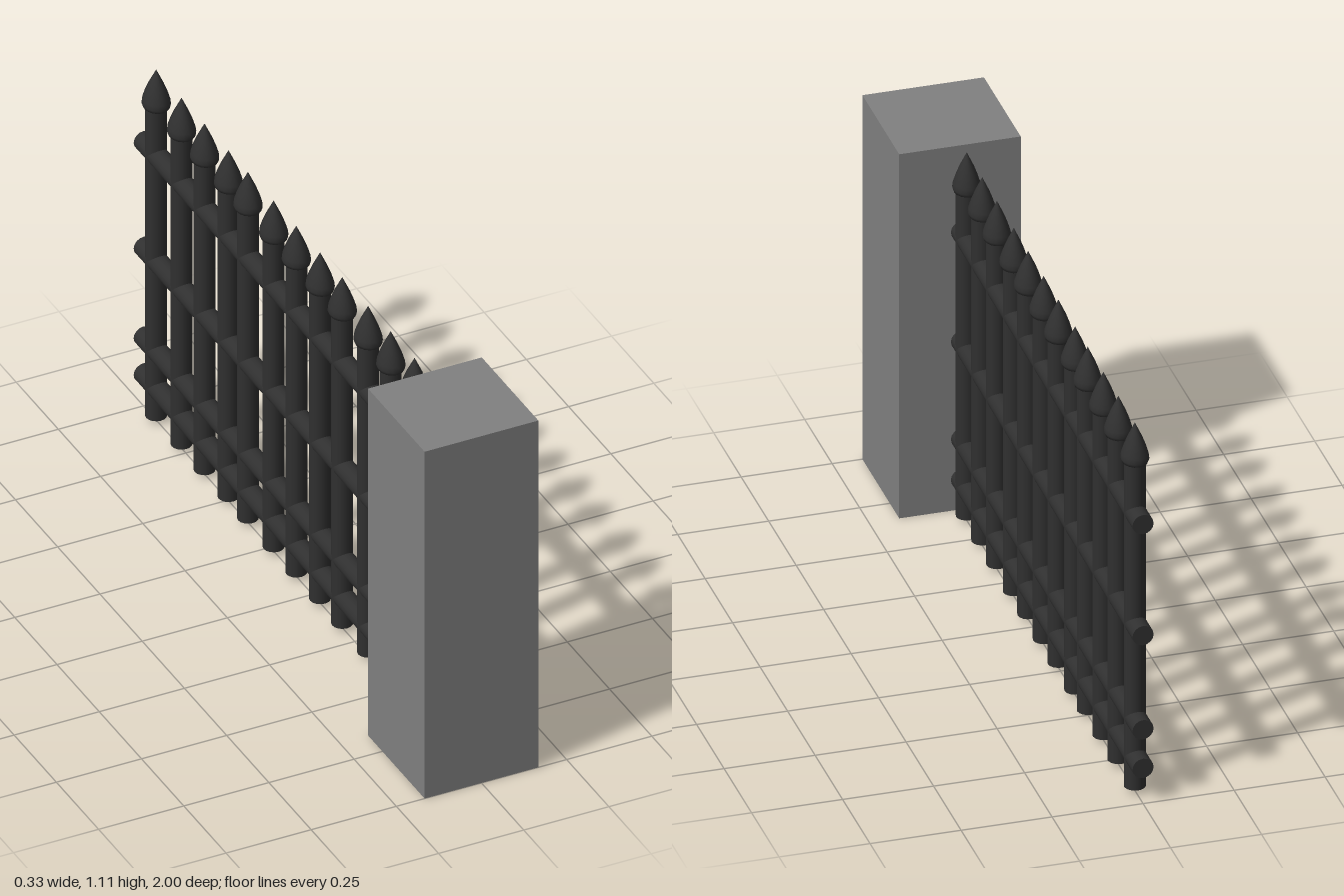
import * as THREE from 'three';

export function createModel() {
  const stone = new THREE.MeshStandardMaterial({ color: 0x808080 });
  stone.name = 'stone grey';
  const iron = new THREE.MeshStandardMaterial({ color: 0x303030 });
  iron.name = 'dark iron';

  const model = new THREE.Group();
  model.name = 'fence';
  const add = (name, geometry, material, x, y, z, parent = model) => {
    const mesh = new THREE.Mesh(geometry, material);
    mesh.name = name;
    mesh.position.set(x, y, z);
    parent.add(mesh);
    return mesh;
  };

  // Square stone pillar at the front end
  add('pillar', new THREE.BoxGeometry(0.334, 1.095, 0.335), stone, 0, 0.5475, 0.8325);

  // Round pickets, each with a pointed head
  const shaft = new THREE.CylinderGeometry(0.029, 0.029, 0.985, 16);
  const profile = [[0, 0], [0.029, 0], [0.04, 0.006], [0.044, 0.016], [0.042, 0.03],
    [0.034, 0.053], [0.023, 0.078], [0, 0.121]];
  const head = new THREE.LatheGeometry(profile.map(([r, y]) => new THREE.Vector2(r, y)), 16);
  head.scale(0.86, 1, 1);
  const picketZ = [0.604, 0.463, 0.329, 0.176, 0.045, -0.096,
    -0.23, -0.382, -0.497, -0.639, -0.775, -0.925];
  for (const z of picketZ) {
    const picket = new THREE.Group();
    picket.name = 'picket';
    picket.position.z = z;
    model.add(picket);
    add('picketShaft', shaft, iron, 0, 0.5075, 0, picket);
    add('picketHead', head, iron, 0, 0.986, 0, picket);
  }

  // Horizontal rails, a little out of level: height at the front and back ends
  const rail = new THREE.CylinderGeometry(0.029, 0.029, 1.652, 16);
  rail.rotateX(Math.PI / 2);
  for (const [front, back] of [[0.845, 0.839], [0.516, 0.505], [0.222, 0.222], [0.1, 0.106]]) {
    const mesh = add('rail', rail, iron, 0, (front + back) / 2, -0.174);
    mesh.rotation.x = Math.atan2(back - front, 1.652);
  }

  return model;
}
